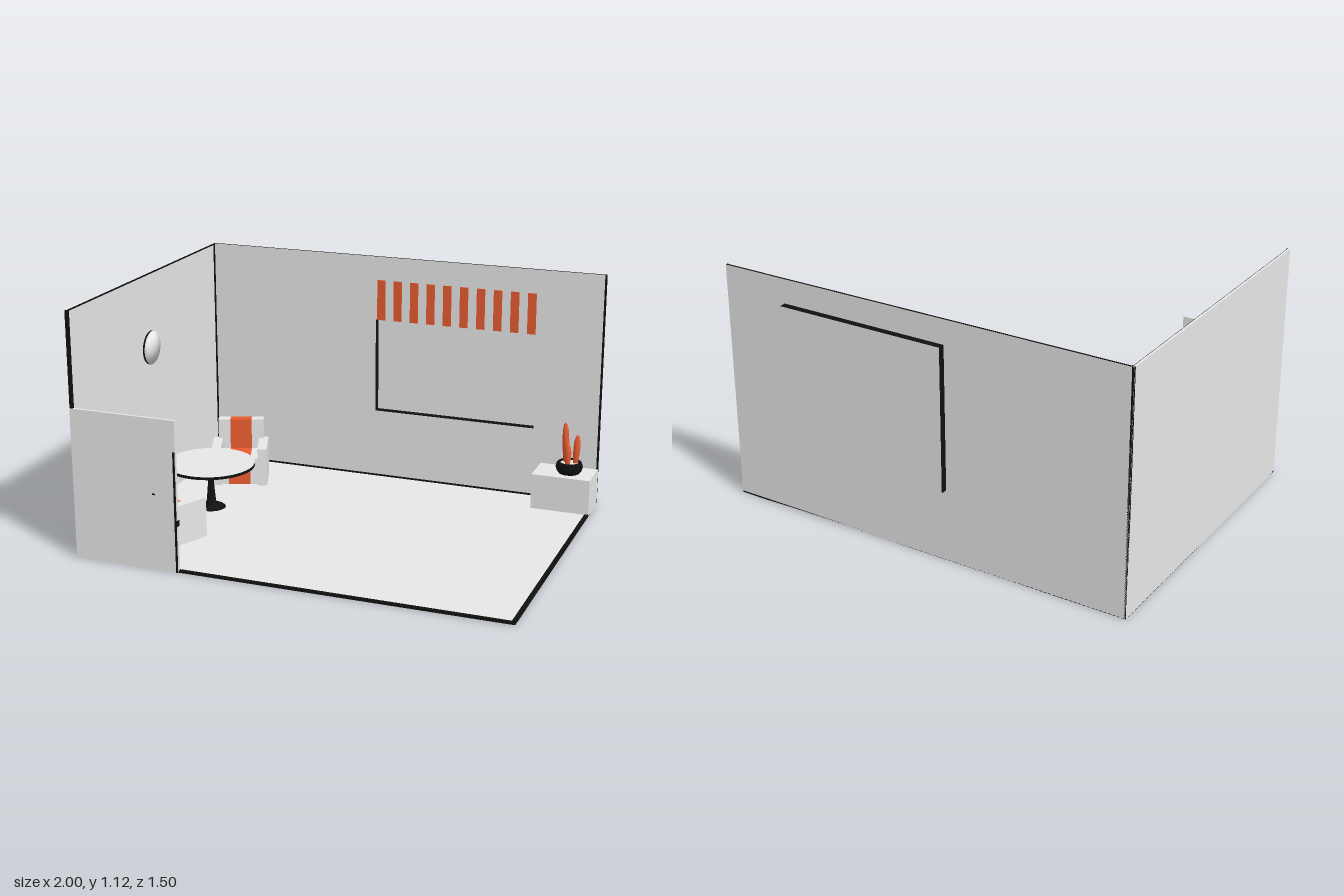
import * as THREE from 'three';

const mat = (name, color) => Object.assign(new THREE.MeshStandardMaterial({ color }), { name });

export function createModel() {
  const white = mat('white', 0xffffff);
  const orange = mat('orange', 0xff6636);
  const black = mat('black', 0x101010);
  const root = new THREE.Group();

  const add = (name, geo, material, parent = root) => {
    const m = new THREE.Mesh(geo, material);
    m.name = name;
    parent.add(m);
    return m;
  };
  // box from its min and max corners
  const box = (name, [x0, y0, z0], [x1, y1, z1], material, parent = root) => {
    const m = add(name, new THREE.BoxGeometry(x1 - x0, y1 - y0, z1 - z0), material, parent);
    m.position.set((x0 + x1) / 2, (y0 + y1) / 2, (z0 + z1) / 2);
    return m;
  };
  const rect = (Type, x0, y0, x1, y1) => new Type([[x0, y0], [x1, y0], [x1, y1], [x0, y1]]
    .map(([x, y]) => new THREE.Vector2(x, y)));
  const lathe = (points, segments = 40) =>
    new THREE.LatheGeometry(points.map(([x, y]) => new THREE.Vector2(x, y)), segments);

  const H = 1.125, BACK = -0.72, FRONT = 0.745;

  // floor and side wall: white slabs with black edges
  box('floor', [-1, 0, BACK], [1, 0.008, FRONT], [black, black, white, white, black, black]);
  box('sideWall', [-1, 0, BACK], [-0.99, H, FRONT], [white, white, white, white, black, black]);

  // back wall with the window opening
  const wall = rect(THREE.Shape, -1, 0, 1, H);
  wall.holes.push(rect(THREE.Path, -0.128, 0.347, 0.678, 0.812));
  const wallGeo = new THREE.ExtrudeGeometry(wall, { depth: 0.01, bevelEnabled: false });
  add('backWall', wallGeo, [white, black]).position.z = BACK;

  // window recess behind the wall
  const ring = rect(THREE.Shape, -0.133, 0.342, 0.683, 1.012);
  ring.holes.push(rect(THREE.Path, -0.128, 0.347, 0.678, 1.007));
  const ringGeo = new THREE.ExtrudeGeometry(ring, { depth: 0.031, bevelEnabled: false });
  add('windowFrame', ringGeo, [white, black]).position.z = -0.75;
  box('windowPane', [-0.133, 0.342, -0.753], [0.683, 1.012, -0.75],
    [black, black, black, black, white, white]);

  // striped blind over the window
  for (let i = 0; i < 10; i++) {
    const x = -0.12 + i * 0.0835;
    box('blindStripe', [x, 0.812, BACK + 0.008], [x + 0.041, 1.01, BACK + 0.014], orange);
  }

  // outlines along the floor, corners and wall ends
  box('frontFloorTrim', [-1, 0.004, FRONT - 0.015], [1, 0.011, FRONT], black);
  box('rightFloorTrim', [0.982, 0.004, -0.54], [1, 0.011, FRONT], black);
  box('backFloorTrim', [-0.99, 0.008, -0.711], [0.72, 0.015, -0.703], black);
  box('cornerTrim', [-0.991, 0.008, -0.711], [-0.984, H, -0.703], black);
  box('sideWallEndTrim', [-0.992, 0, FRONT - 0.014], [-0.986, H, FRONT], black);
  box('sideWallTopTrim', [-0.992, H - 0.007, BACK + 0.01], [-0.988, H, FRONT], black);
  box('backWallEndTrim', [0.992, 0.18, -0.711], [1, H, -0.708], black);

  // low door panel with hinge-side trim, keyhole and latch
  box('doorPanel', [-1, 0, FRONT - 0.01], [-0.5, 0.69, FRONT + 0.002], white);
  box('doorEdge', [-0.512, 0, FRONT - 0.012], [-0.503, 0.55, FRONT + 0.005], black);
  box('doorLatch', [-0.51, 0.215, FRONT - 0.012], [-0.496, 0.24, FRONT + 0.005], black);
  box('keyhole', [-0.615, 0.345, FRONT], [-0.603, 0.352, FRONT + 0.005], black);

  // round wall lamp: shallow dome with ball-like shading on a black rim
  const dome = new THREE.SphereGeometry(0.08, 40, 16, 0, Math.PI * 2, 0, Math.PI / 2).rotateZ(-Math.PI / 2);
  const p = dome.attributes.position;
  for (let i = 0; i < p.count; i++) p.setX(i, p.getX(i) * 0.12);
  add('wallLampDome', dome, white).position.set(-0.981, 0.77, 0);
  const rim = add('wallLampRim', new THREE.CylinderGeometry(0.08, 0.08, 0.01, 40).rotateZ(Math.PI / 2), black);
  rim.position.set(-0.986, 0.77, 0);

  // pedestal table
  const table = new THREE.Group();
  table.name = 'table';
  table.position.set(-0.705, 0, -0.016);
  root.add(table);
  add('tableTop', new THREE.CylinderGeometry(0.21, 0.21, 0.014, 48), [black, white, black], table).position.y = 0.223;
  add('tablePedestal', lathe([[0, 0.008], [0.068, 0.008], [0.06, 0.014], [0.032, 0.02], [0.022, 0.04],
    [0.015, 0.12], [0.014, 0.17], [0.022, 0.217]]), black, table);

  // armchairs with a central stripe
  const chair = (x, z, angle) => {
    const g = new THREE.Group();
    g.name = 'armchair';
    g.position.set(x, 0, z);
    g.rotation.y = angle;
    root.add(g);
    for (const s of [-1, 1]) {
      const side = (name, a, b, y0, y1, z0, z1) =>
        box(name, [Math.min(s * a, s * b), y0, z0], [Math.max(s * a, s * b), y1, z1], white, g);
      side('chairBackSide', 0.053, 0.112, 0.006, 0.29, -0.116, -0.065);
      side('chairSeatSide', 0.053, 0.092, 0.006, 0.14, -0.065, 0.1);
      side('chairArm', 0.09, 0.136, 0.006, 0.194, -0.085, 0.116);
    }
    box('chairBackStripe', [-0.053, 0.006, -0.116], [0.053, 0.29, -0.065], orange, g);
    box('chairSeatStripe', [-0.053, 0.006, -0.065], [0.053, 0.14, 0.1], orange, g);
  };
  chair(-0.741, -0.436, 0.36);
  chair(-0.734, 0.385, Math.PI - 0.41);

  // corner cabinet
  box('cabinet', [0.72, 0, BACK + 0.005], [1, 0.178, -0.537], white);

  // potted plant
  const plant = new THREE.Group();
  plant.name = 'pottedPlant';
  plant.position.set(0.88, 0.178, -0.625);
  root.add(plant);
  add('pot', lathe([[0, 0], [0.05, 0], [0.06, 0.014], [0.064, 0.03], [0.06, 0.048], [0.054, 0.054],
    [0.044, 0.054], [0.042, 0.04]], 32), black, plant);
  add('potFilling', new THREE.CylinderGeometry(0.043, 0.043, 0.006, 32), white, plant).position.y = 0.045;
  for (const [x, z, h] of [[-0.02, -0.013, 0.2], [0.026, -0.012, 0.145], [-0.003, 0.025, 0.11]]) {
    const leaf = add('leaf', lathe([[0.011, 0], [0.015, h * 0.3], [0.0165, h * 0.55], [0.014, h * 0.8],
      [0.008, h * 0.95], [0, h]], 16), orange, plant);
    leaf.position.set(x, 0.042, z);
    leaf.rotation.z = -x * 2;
  }
  return root;
}
